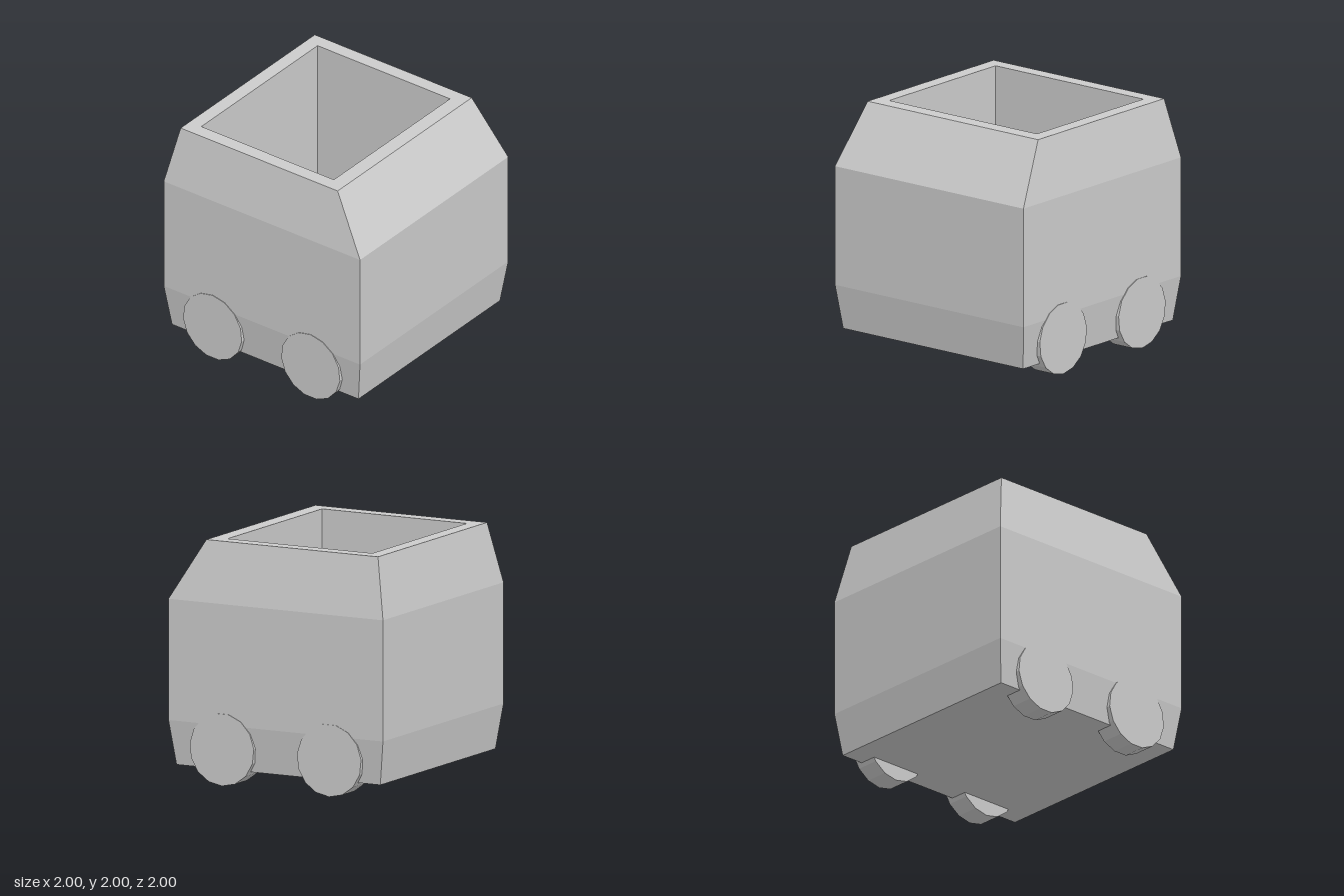
import * as THREE from 'three';

const material = new THREE.MeshStandardMaterial({ color: 0xcccccc, flatShading: true });

// Skin a stack of rectangular rings [halfWidth, back z, front z, y], closing both ends.
function loftRectangles(rings) {
  const positions = [];
  const index = [];
  for (const [w, back, front, y] of rings) {
    positions.push(-w, y, front, w, y, front, w, y, back, -w, y, back);
  }
  for (let r = 0; r < rings.length - 1; r++) {
    for (let i = 0; i < 4; i++) {
      const a = r * 4 + i;
      const b = r * 4 + (i + 1) % 4;
      index.push(a, b, b + 4, a, b + 4, a + 4);
    }
  }
  const e = (rings.length - 1) * 4;
  index.push(0, 2, 1, 0, 3, 2, e, e + 1, e + 2, e, e + 2, e + 3);
  const geometry = new THREE.BufferGeometry();
  geometry.setAttribute('position', new THREE.Float32BufferAttribute(positions, 3));
  geometry.setIndex(index);
  const flat = geometry.toNonIndexed();
  flat.computeVertexNormals();
  return flat;
}

export function createModel() {
  const model = new THREE.Group();
  model.name = 'cart';

  // Open-topped body: outside from base to rim, then down the inner walls to the floor
  const body = new THREE.Mesh(loftRectangles([
    [0.95, -0.95, 0.95, 0.13],
    [0.995, -1, 1, 0.5],
    [0.995, -1, 1, 1.5],
    [0.9, -0.9, 0.7, 2],
    [0.78, -0.78, 0.57, 2],
    [0.78, -0.78, 0.57, 0.25],
  ]), material);
  body.name = 'body';
  model.add(body);

  // Four 15-sided wheels; a corner points down on the left and up on the right
  for (const side of [1, -1]) {
    const geometry = new THREE.CylinderGeometry(0.3, 0.3, 0.2, 15)
      .rotateZ(Math.PI / 2)
      .rotateX(side * Math.PI / 2);
    for (const end of [1, -1]) {
      const wheel = new THREE.Mesh(geometry, material);
      wheel.name = `${end > 0 ? 'front' : 'rear'}${side > 0 ? 'Left' : 'Right'}Wheel`;
      wheel.position.set(side * 0.9, 0.3, end * 0.5);
      model.add(wheel);
    }
  }
  return model;
}
